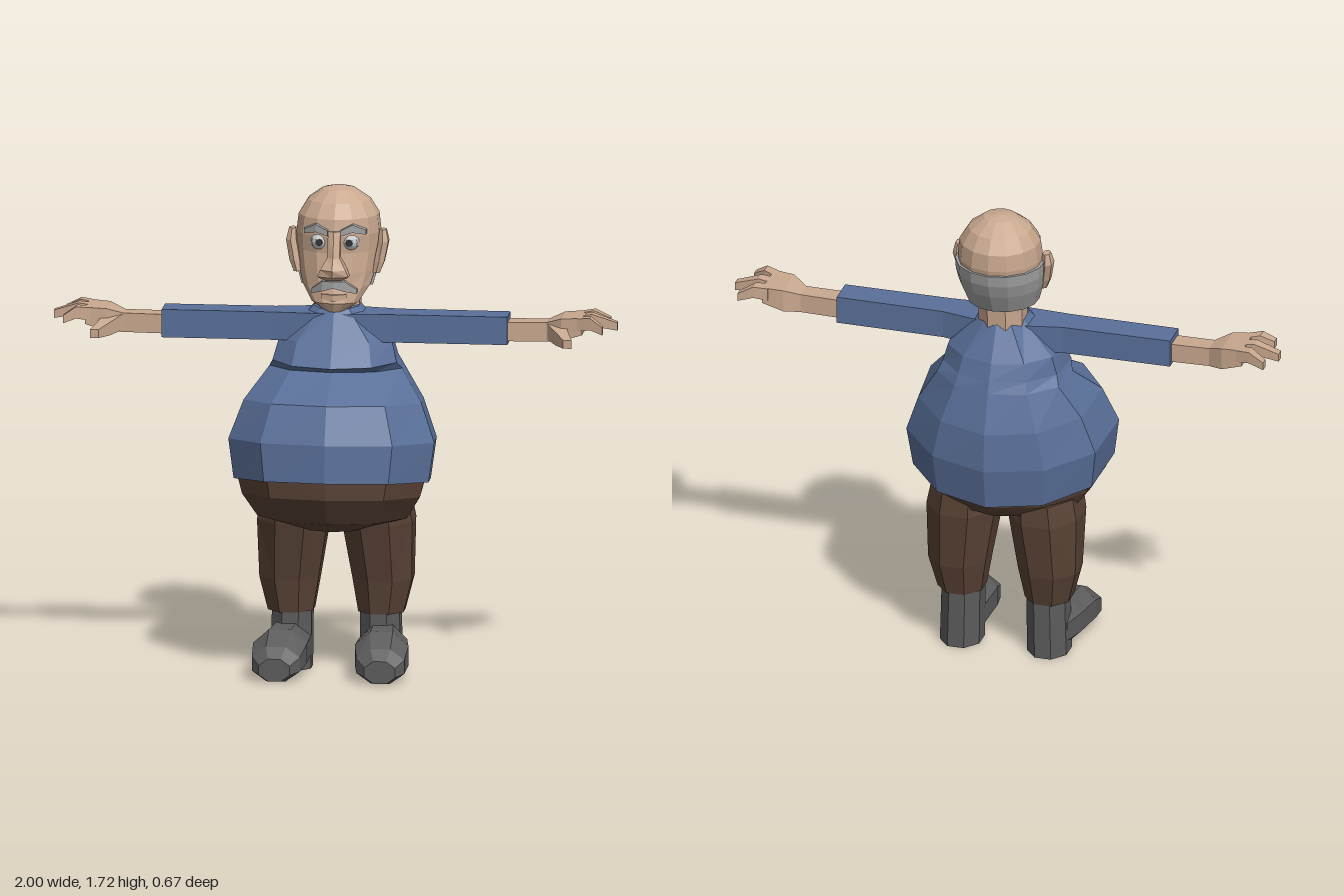
import * as THREE from 'three';

// Skin a list of equal-length closed rings, cap both ends, and face everything outward.
function loft(rings) {
  const tris = [];
  const n = rings[0].length;
  for (let r = 0; r < rings.length - 1; r++) {
    for (let i = 0; i < n; i++) {
      const j = (i + 1) % n, A = rings[r], B = rings[r + 1];
      tris.push([A[i], A[j], B[j]], [A[i], B[j], B[i]]);
    }
  }
  const cap = (ring, flip) => {
    const c = new THREE.Vector3();
    ring.forEach((p) => c.addScaledVector(p, 1 / n));
    for (let i = 0; i < n; i++) {
      const a = ring[i], b = ring[(i + 1) % n];
      tris.push(flip ? [c, b, a] : [c, a, b]);
    }
  };
  cap(rings[0], true);
  cap(rings[rings.length - 1], false);
  let volume = 0;
  const cross = new THREE.Vector3();
  for (const [a, b, c] of tris) volume += a.dot(cross.crossVectors(b, c));
  const points = tris.flatMap(([a, b, c]) => (volume > 0 ? [a, b, c] : [a, c, b]));
  const geo = new THREE.BufferGeometry().setFromPoints(points);
  geo.computeVertexNormals();
  return geo;
}

// Sections along an axis: [position, centre1, centre2, half1, half2]; side mirrors x.
function stack(axis, sections, sides, side = 1) {
  const k = 1 / Math.cos(Math.PI / sides);
  return loft(sections.map(([a, b, c, hb, hc]) => Array.from({ length: sides }, (_, i) => {
    const t = ((i + 0.5) / sides) * Math.PI * 2;
    const u = b + hb * k * Math.cos(t), v = c + hc * k * Math.sin(t);
    const p = axis === 'x' ? [a, u, v] : axis === 'y' ? [u, a, v] : [u, v, a];
    return new THREE.Vector3(p[0] * side, p[1], p[2]);
  })));
}

// Ten-sided body rings: [half width, front z, back z, front y, back y]
const HALF = [[0, 1], [0.64, 0.83], [1, 0.35], [0.95, -0.35], [0.56, -0.82], [0, -1]];
const OUTLINE = [...HALF, ...HALF.slice(1, 5).reverse().map(([u, v]) => [-u, v])];
function bodyLoft(rings) {
  return loft(rings.map(([w, zf, zb, yf, yb]) => OUTLINE.map(([u, v]) => {
    const t = (v + 1) / 2;
    return new THREE.Vector3(u * w, yb + (yf - yb) * t, zb + (zf - zb) * t);
  })));
}

// Head rings: [y, half width, front z, back z], swept between two angles from the front
function headLoft(rings, from, to, steps, grow = 0) {
  return loft(rings.map(([y, w, zf, zb]) => Array.from({ length: steps }, (_, i) => {
    const a = from + (to - from) * i / (to - from > 6 ? steps : steps - 1);
    return new THREE.Vector3((w + grow) * Math.sin(a), y,
      (zf + zb) / 2 + ((zf - zb) / 2 + grow) * Math.cos(a));
  })));
}

export function createModel() {
  const model = new THREE.Group();
  model.name = 'standingMan';
  const material = (name, color) => {
    const m = new THREE.MeshStandardMaterial({ color });
    m.name = name;
    return m;
  };
  const skin = material('skin', 0xc9a88f);
  const shirt = material('shirtBlue', 0x5a709a);
  const brown = material('trouserBrown', 0x5a4336);
  const boot = material('bootGrey', 0x5c5c5c);
  const hair = material('hairGrey', 0xa2a2a2);
  const eyeWhite = material('eyeWhite', 0xc4c6c8);
  const pupil = material('pupilDark', 0x34363a);

  const add = (name, geo, mat) => {
    const mesh = new THREE.Mesh(geo, mat);
    mesh.name = name;
    model.add(mesh);
    return mesh;
  };

  // Pullover: tilted hem, round belly, overhanging chest, sloping neck
  add('pullover', bodyLoft([
    [0.345, 0.335, -0.31, 0.735, 0.65],
    [0.365, 0.33, -0.335, 0.87, 0.80],
    [0.315, 0.27, -0.325, 1.0, 0.94],
    [0.235, 0.10, -0.28, 1.088, 1.08],
    [0.22, 0.15, -0.265, 1.11, 1.12],
    [0.2, 0.095, -0.24, 1.19, 1.18],
    [0.08, 0.03, -0.17, 1.3, 1.31],
  ]), shirt);

  // Trouser seat
  add('hips', bodyLoft([
    [0.335, 0.315, -0.27, 0.75, 0.69],
    [0.315, 0.31, -0.25, 0.67, 0.62],
    [0.265, 0.24, -0.21, 0.57, 0.57],
    [0.12, 0.12, -0.12, 0.52, 0.53],
  ]), brown);

  // Neck and head
  add('neck', stack('y', [[1.26, 0, -0.09, 0.08, 0.08], [1.42, 0, -0.095, 0.08, 0.085]], 8), skin);
  add('head', headLoft([
    [1.292, 0.04, 0.035, -0.06],
    [1.325, 0.085, 0.052, -0.09],
    [1.38, 0.122, 0.037, -0.17],
    [1.43, 0.138, 0.035, -0.235],
    [1.5, 0.148, 0.025, -0.265],
    [1.56, 0.15, 0.03, -0.277],
    [1.62, 0.143, 0.02, -0.272],
    [1.67, 0.112, -0.015, -0.24],
    [1.708, 0.06, -0.065, -0.18],
    [1.718, 0.015, -0.11, -0.14],
  ], 0, Math.PI * 2, 14), skin);
  add('hairBand', headLoft([
    [1.375, 0.118, 0.035, -0.205],
    [1.45, 0.14, 0.03, -0.245],
    [1.5, 0.148, 0.025, -0.265],
    [1.543, 0.15, 0.028, -0.272],
  ], 1.4, Math.PI * 2 - 1.4, 9, 0.01), hair);
  add('nose', stack('y', [
    [1.41, 0, 0.045, 0.03, 0.018],
    [1.425, 0, 0.05, 0.055, 0.035],
    [1.45, 0, 0.05, 0.045, 0.042],
    [1.49, 0, 0.035, 0.022, 0.03],
    [1.58, 0, 0.015, 0.022, 0.02],
  ], 6), skin);
  add('lowerLip', stack('x', [
    [-0.045, 1.35, 0.03, 0.008, 0.012], [0, 1.345, 0.042, 0.012, 0.014], [0.045, 1.35, 0.03, 0.008, 0.012],
  ], 4), skin);

  for (const side of [1, -1]) {
    const label = side > 0 ? 'left' : 'right';
    const part = (name, axis, sections, sides, mat) =>
      add(label + name, stack(axis, sections, sides, side), mat);

    // Face details
    part('Ear', 'y', [
      [1.42, 0.14, -0.06, 0.012, 0.015],
      [1.46, 0.15, -0.07, 0.018, 0.025],
      [1.53, 0.163, -0.085, 0.018, 0.033],
      [1.57, 0.16, -0.09, 0.012, 0.02],
    ], 6, skin);
    part('Eyebrow', 'x', [
      [0.022, 1.575, 0.03, 0.01, 0.012],
      [0.065, 1.592, 0.02, 0.014, 0.014],
      [0.11, 1.575, -0.01, 0.008, 0.014],
    ], 4, hair);
    part('Moustache', 'x', [
      [0, 1.395, 0.05, 0.012, 0.014],
      [0.04, 1.388, 0.042, 0.018, 0.014],
      [0.08, 1.366, 0.012, 0.008, 0.014],
    ], 4, hair);
    const eye = add(label + 'Eye', new THREE.SphereGeometry(0.031, 10, 8).toNonIndexed(), eyeWhite);
    eye.geometry.computeVertexNormals();
    eye.position.set(0.055 * side, 1.54, 0);
    const iris = add(label + 'Pupil', new THREE.CylinderGeometry(0.012, 0.012, 0.008, 8), pupil);
    iris.rotation.x = Math.PI / 2;
    iris.position.set(0.053 * side, 1.54, 0.029);

    // Sleeve, forearm and hand
    part('Sleeve', 'x', [
      [0.03, 1.235, -0.05, 0.05, 0.08],
      [0.22, 1.235, -0.036, 0.05, 0.055],
      [0.612, 1.235, -0.035, 0.05, 0.053],
    ], 4, shirt);
    part('Forearm', 'x', [
      [0.59, 1.23, -0.033, 0.034, 0.038],
      [0.75, 1.232, -0.033, 0.034, 0.036],
      [0.805, 1.247, -0.03, 0.04, 0.068],
      [0.88, 1.262, -0.03, 0.03, 0.075],
    ], 4, skin);
    const fingers = [[-0.083, -0.112, 0.965], [-0.03, -0.03, 0.998], [0.022, 0.062, 0.955]];
    fingers.forEach(([z0, z1, tip], i) => part('Finger' + (i + 1), 'x', [
      [0.86, 1.267, z0, 0.023, 0.022],
      [0.91, 1.275, z0 + (z1 - z0) * 0.5, 0.021, 0.02],
      [tip, 1.253, z1, 0.014, 0.015],
    ], 4, skin));
    part('Thumb', 'z', [
      [0.0, 0.785, 1.235, 0.035, 0.028],
      [0.065, 0.81, 1.222, 0.023, 0.024],
      [0.132, 0.838, 1.215, 0.015, 0.015],
    ], 4, skin);

    // Trouser leg
    part('TrouserLeg', 'y', [
      [0.62, 0.145, -0.04, 0.115, 0.155],
      [0.54, 0.15, -0.05, 0.125, 0.15],
      [0.33, 0.165, -0.062, 0.105, 0.113],
      [0.21, 0.16, -0.055, 0.08, 0.088],
    ], 8, brown);

    // Boot
    part('BootShaft', 'y', [[0, 0.16, -0.055, 0.072, 0.086], [0.24, 0.155, -0.055, 0.07, 0.084]], 8, boot);
    part('BootFoot', 'z', [
      [-0.07, 0.16, 0.08, 0.07, 0.08],
      [0.01, 0.172, 0.085, 0.085, 0.085],
      [0.13, 0.18, 0.084, 0.095, 0.084],
      [0.215, 0.185, 0.061, 0.085, 0.061],
      [0.25, 0.187, 0.045, 0.055, 0.04],
    ], 8, boot);
  }
  return model;
}
